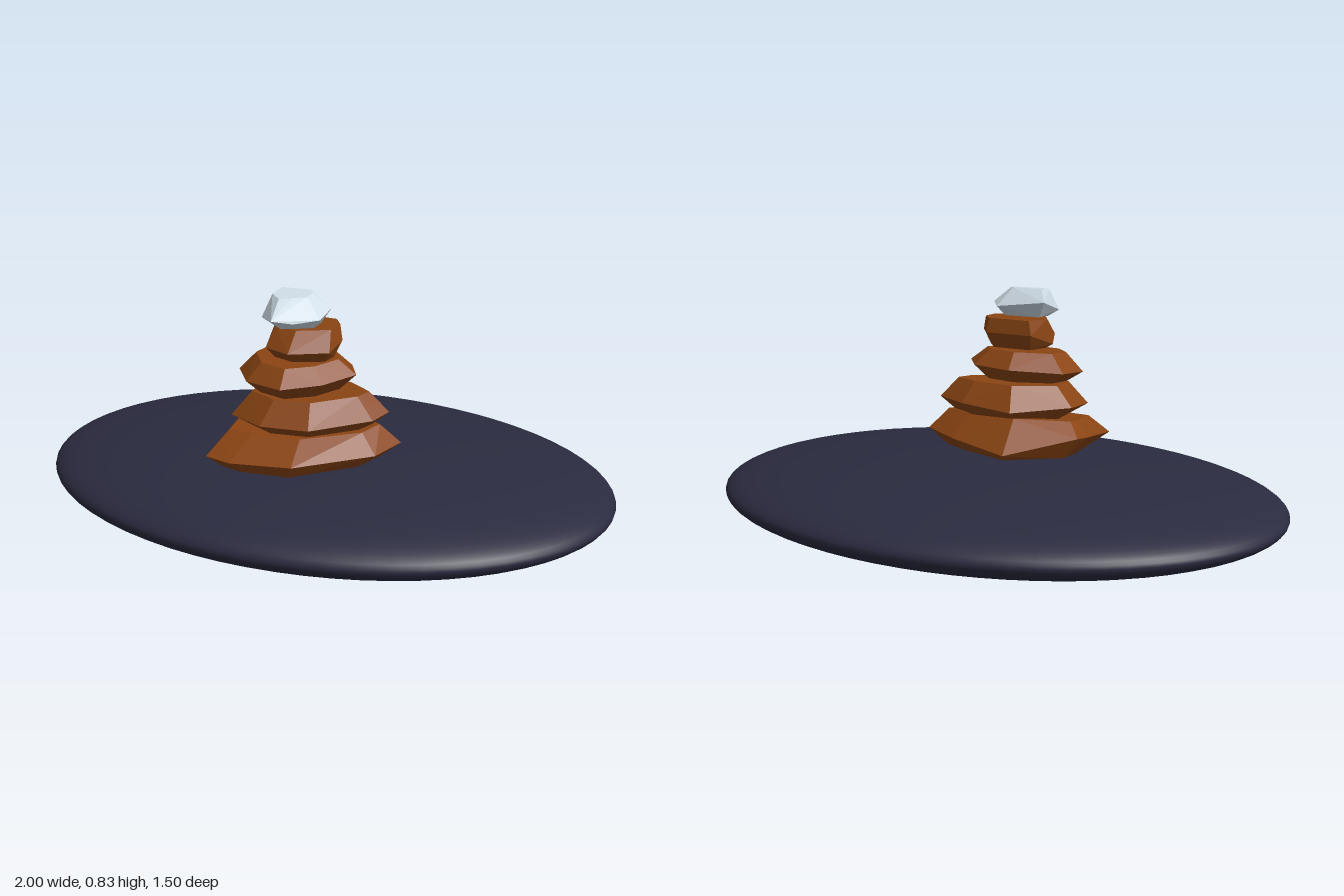
import * as THREE from 'three';
import { ConvexGeometry } from 'three/addons/geometries/ConvexGeometry.js';

const mat = (name, color, flatShading) => {
  const m = new THREE.MeshStandardMaterial({ color, flatShading });
  m.name = name;
  return m;
};

// A faceted stone: the hull of a widest outline [x, z, y] and shrunken, slightly tilted caps.
// Each cap is { y, sx, sz, cx, cz, tilt }, tilt being the rise per unit of z.
function stone(name, material, rim, caps) {
  const points = rim.map(([x, z, y]) => new THREE.Vector3(x, y, z));
  const n = rim.length;
  const mx = rim.reduce((s, p) => s + p[0], 0) / n;
  const mz = rim.reduce((s, p) => s + p[1], 0) / n;
  for (const { y, sx, sz, cx = mx, cz = mz, tilt = 0 } of caps) {
    for (const [x, z] of rim) {
      const dz = (z - mz) * sz;
      points.push(new THREE.Vector3(cx + (x - mx) * sx, y + dz * tilt, cz + dz));
    }
  }
  const mesh = new THREE.Mesh(new ConvexGeometry(points), material);
  mesh.name = name;
  return mesh;
}

export function createModel() {
  const group = new THREE.Group();
  group.name = 'stackedStones';
  const slate = mat('darkSlate', 0x2b2b40, false);
  const brown = mat('brownStone', 0x8b4513, true);
  const pale = mat('paleStone', 0xd6e4ee, true);

  // Smooth flattened base
  const base = new THREE.Mesh(new THREE.SphereGeometry(1, 64, 40), slate);
  base.name = 'base';
  base.scale.set(1, 0.14, 0.75);
  base.position.y = 0.14;
  group.add(base);

  // Stones from the bottom to the top
  group.add(
    stone('bottomStone', brown, [
      [-0.05, -0.075, 0.30], [0.18, 0, 0.32], [0.31, 0.07, 0.33], [0.28, 0.2, 0.32], [0.08, 0.4, 0.31],
      [-0.13, 0.43, 0.30], [-0.23, 0.41, 0.30], [-0.265, 0.15, 0.34], [-0.26, 0.07, 0.35],
    ], [
      { y: 0.272, sx: 0.78, sz: 0.9, tilt: -0.02 },
      { y: 0.39, sx: 0.82, sz: 0.6, cz: 0.18, tilt: -0.11 },
    ]),
    stone('secondStone', brown, [
      [-0.04, 0, 0.43], [0.16, 0.03, 0.44], [0.28, 0.1, 0.44], [0.26, 0.18, 0.43], [0.11, 0.34, 0.42],
      [-0.05, 0.37, 0.42], [-0.19, 0.31, 0.42], [-0.21, 0.13, 0.44],
    ], [
      { y: 0.393, sx: 0.78, sz: 0.8, tilt: -0.03 },
      { y: 0.505, sx: 0.75, sz: 0.7, tilt: -0.06 },
    ]),
    stone('thirdStone', brown, [
      [-0.02, 0.03, 0.57], [0.13, 0.07, 0.57], [0.19, 0.16, 0.57], [0.13, 0.28, 0.56], [0.02, 0.36, 0.55],
      [-0.12, 0.33, 0.55], [-0.21, 0.22, 0.55], [-0.19, 0.1, 0.56],
    ], [
      { y: 0.515, sx: 0.72, sz: 0.75, tilt: -0.06 },
      { y: 0.615, sx: 0.7, sz: 0.7, tilt: -0.08 },
    ]),
    stone('fourthStone', brown, [
      [-0.07, 0.1, 0.68], [0.1, 0.1, 0.68], [0.14, 0.16, 0.68], [0.14, 0.25, 0.66],
      [0.03, 0.325, 0.66], [-0.07, 0.29, 0.66], [-0.105, 0.2, 0.64],
    ], [
      { y: 0.625, sx: 0.8, sz: 0.7 },
      { y: 0.727, sx: 0.88, sz: 0.72, cz: 0.18, tilt: -0.04 },
    ]),
    stone('topStone', pale, [
      [-0.1, 0.14, 0.79], [0.07, 0.12, 0.77], [0.1, 0.16, 0.78], [0.1, 0.24, 0.76],
      [0.03, 0.29, 0.75], [-0.03, 0.325, 0.76], [-0.1, 0.26, 0.75],
    ], [
      { y: 0.73, sx: 0.7, sz: 0.6, tilt: -0.06 },
      { y: 0.826, sx: 0.6, sz: 0.52, cx: -0.01, cz: 0.21, tilt: -0.12 },
    ]),
  );
  return group;
}
